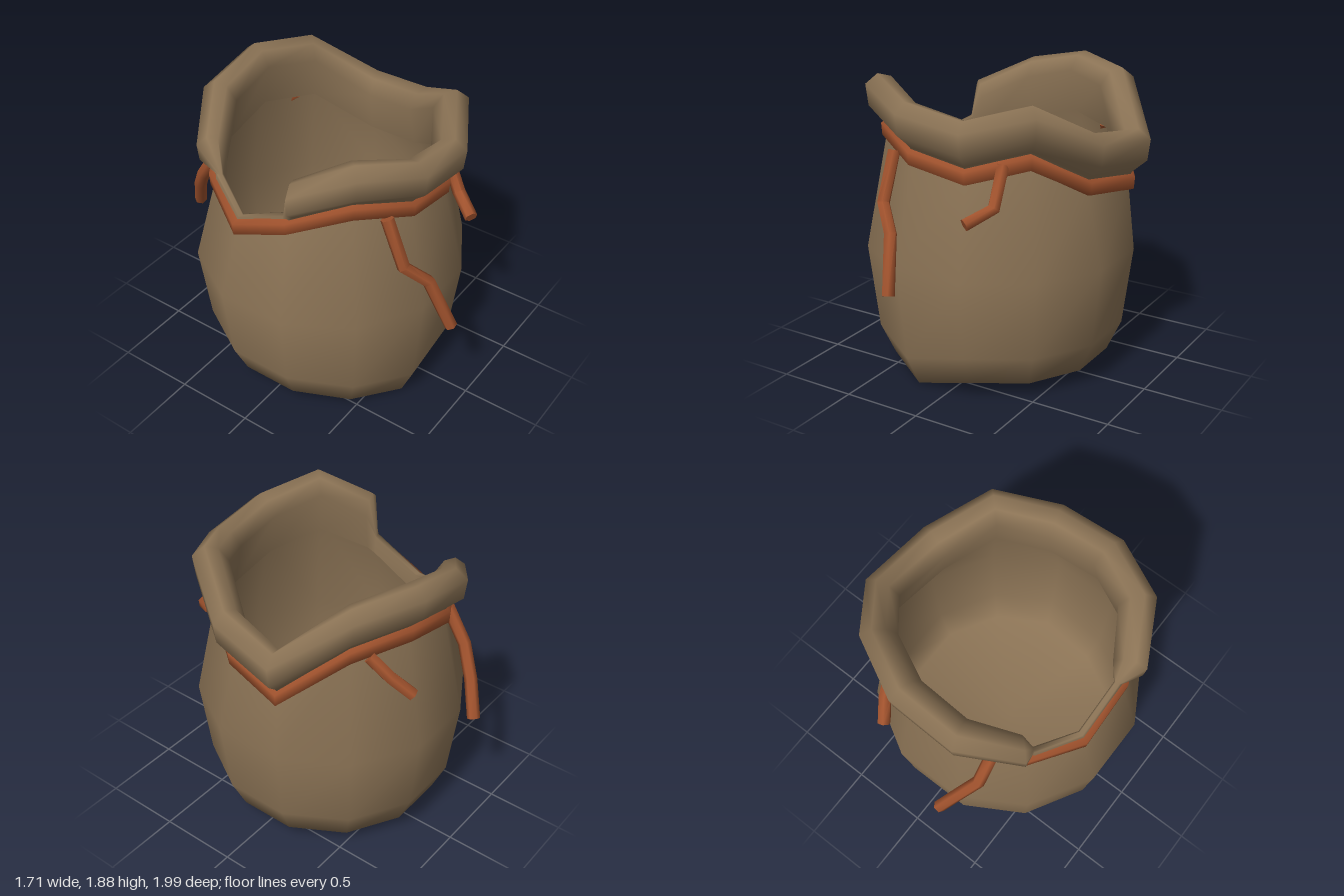
import * as THREE from 'three';
import { toCreasedNormals } from 'three/addons/utils/BufferGeometryUtils.js';

const CENTER = new THREE.Vector3(-0.04, 0, -0.02);
// Twelve columns at 15, 45, 75 ... degrees, running from +x towards +z
const ANGLES = Array.from({ length: 12 }, (_, i) => 15 + 30 * i);
const NECK_Y = [1.29, 1.49, 1.40, 1.46, 1.55, 1.42, 1.25, 1.36, 1.47, 1.55, 1.51, 1.23];
const NECK_OUT = [0.02, 0, 0, 0, 0, 0, 0, 0, 0, 0, 0.02, 0.1];
const BASE_DROP = [0, 0, 0, 0.1, 0.04, 0, 0, 0, 0, 0, 0, 0];

// Value of a per-column table at any angle
function sample(table, deg) {
  const t = (deg - 15) / 30, i = Math.floor(t);
  return THREE.MathUtils.lerp(table[i % 12], table[(i + 1) % 12], t - i);
}

function ringPoint(deg, r, y) {
  const a = THREE.MathUtils.degToRad(deg);
  return new THREE.Vector3(Math.cos(a) * r, y, Math.sin(a) * r).add(CENTER);
}

// Surface through a list of closed rings with equal point counts
function loft(rings) {
  const n = rings[0].length, index = [];
  for (let i = 0; i < rings.length - 1; i++) {
    for (let j = 0; j < n; j++) {
      const k = (j + 1) % n, a = i * n + j, b = i * n + k;
      index.push(a, a + n, b, b, a + n, b + n);
    }
  }
  const geo = new THREE.BufferGeometry().setFromPoints(rings.flat());
  geo.setIndex(index);
  geo.computeVertexNormals();
  return geo;
}

// Sack wall and base, from the bottom ring up to the neck
function bodyGeometry() {
  const rows = [[0.70, 0.1], [0.79, 0.3], [0.85, 0.8]];
  const rings = rows.map(([r, y], i) => ANGLES.map((d, j) =>
    ringPoint(d, r, y - (i < 2 ? BASE_DROP[j] : 0))));
  rings.push(ANGLES.map((d, j) => ringPoint(d, 0.70 + NECK_OUT[j], NECK_Y[j])));
  const geo = loft(rings);
  // close the base with a fan to a low centre point
  const pos = [...geo.attributes.position.array, CENTER.x, 0, CENTER.z];
  const index = [...geo.index.array];
  for (let j = 0; j < 12; j++) index.push(48, j, (j + 1) % 12);
  const closed = new THREE.BufferGeometry();
  closed.setAttribute('position', new THREE.Float32BufferAttribute(pos, 3));
  closed.setIndex(index);
  closed.computeVertexNormals();
  return closed;
}

// Rolled lip, flattened where the mouth sags open at the side
function rollGeometry() {
  const section = [[0.69, 0], [0.72, 0.06], [0.81, 0.14], [0.825, 0.27],
    [0.75, 0.33], [0.67, 0.31], [0.61, 0.22], [0.66, -0.05]];
  const columns = ANGLES.filter((d) => d !== 165 && d !== 225).map((d) => [d, d === 195 ? 0 : 1]);
  columns.push([162, 0.9], [167, 0], [221, 0], [226, 0.8]);
  columns.sort((a, b) => a[0] - b[0]);
  return loft(section.map(([r, dy], row) => columns.map(([d, full]) => {
    const flatR = 0.71 - row * 0.009;
    const flatY = row === 0 || row === 7 ? dy : 0.065;
    return ringPoint(d,
      THREE.MathUtils.lerp(flatR, r, full) + sample(NECK_OUT, d),
      THREE.MathUtils.lerp(flatY, dy, full) + sample(NECK_Y, d));
  })));
}

// Flat cord around the neck
function bandGeometry() {
  const section = [[0.69, -0.06], [0.735, -0.045], [0.74, 0.03], [0.69, 0.06]];
  return loft(section.map(([r, dy]) => ANGLES.map((d, j) =>
    ringPoint(d, r + NECK_OUT[j], NECK_Y[j] + dy))));
}

// Loose cord end: six-sided tube with closed tips along a bent path
function laceGeometry(path) {
  const pts = path.map((p) => new THREE.Vector3(...p));
  const down = new THREE.Vector3(0, -1, 0);
  const last = pts.length - 1;
  const rings = pts.map((p, i) => {
    const dir = pts[Math.min(i + 1, last)].clone().sub(pts[Math.max(i - 1, 0)]).normalize();
    const q = new THREE.Quaternion().setFromUnitVectors(down, dir);
    return Array.from({ length: 6 }, (_, j) => {
      const a = j * Math.PI / 3;
      return new THREE.Vector3(Math.cos(a), 0, -Math.sin(a)).multiplyScalar(0.04)
        .applyQuaternion(q).add(p);
    });
  });
  const tip = (p) => Array.from({ length: 6 }, () => p.clone());
  return toCreasedNormals(loft([tip(pts[0]), ...rings, tip(pts[last])]), 1.1);
}

export function createModel() {
  const cloth = new THREE.MeshStandardMaterial({ color: 0x8b7355, side: THREE.DoubleSide });
  cloth.name = 'brown cloth';
  const cord = new THREE.MeshStandardMaterial({ color: 0xa0522d });
  cord.name = 'rust cord';

  const group = new THREE.Group();
  group.name = 'openSack';
  const add = (name, geo, mat) => {
    const mesh = new THREE.Mesh(geo, mat);
    mesh.name = name;
    group.add(mesh);
  };

  add('sackBody', bodyGeometry(), cloth);
  add('rolledLip', rollGeometry(), cloth);
  add('neckCord', bandGeometry(), cord);

  const laces = {
    frontLongLace: [[-0.39, 1.46, 0.61], [-0.39, 1.17, 0.73], [-0.27, 1.03, 0.83], [-0.2, 0.7, 0.96]],
    frontShortLace: [[0.33, 1.47, 0.56], [0.33, 1.24, 0.66], [0.23, 1.17, 0.81]],
    backLongLace: [[-0.38, 1.42, -0.62], [-0.38, 1.2, -0.76], [-0.3, 1.03, -0.87], [-0.22, 0.82, -0.96]],
    backShortLace: [[0.38, 1.47, -0.6], [0.34, 1.36, -0.72], [0.27, 1.25, -0.83]],
  };
  for (const [name, path] of Object.entries(laces)) add(name, laceGeometry(path), cord);
  return group;
}
